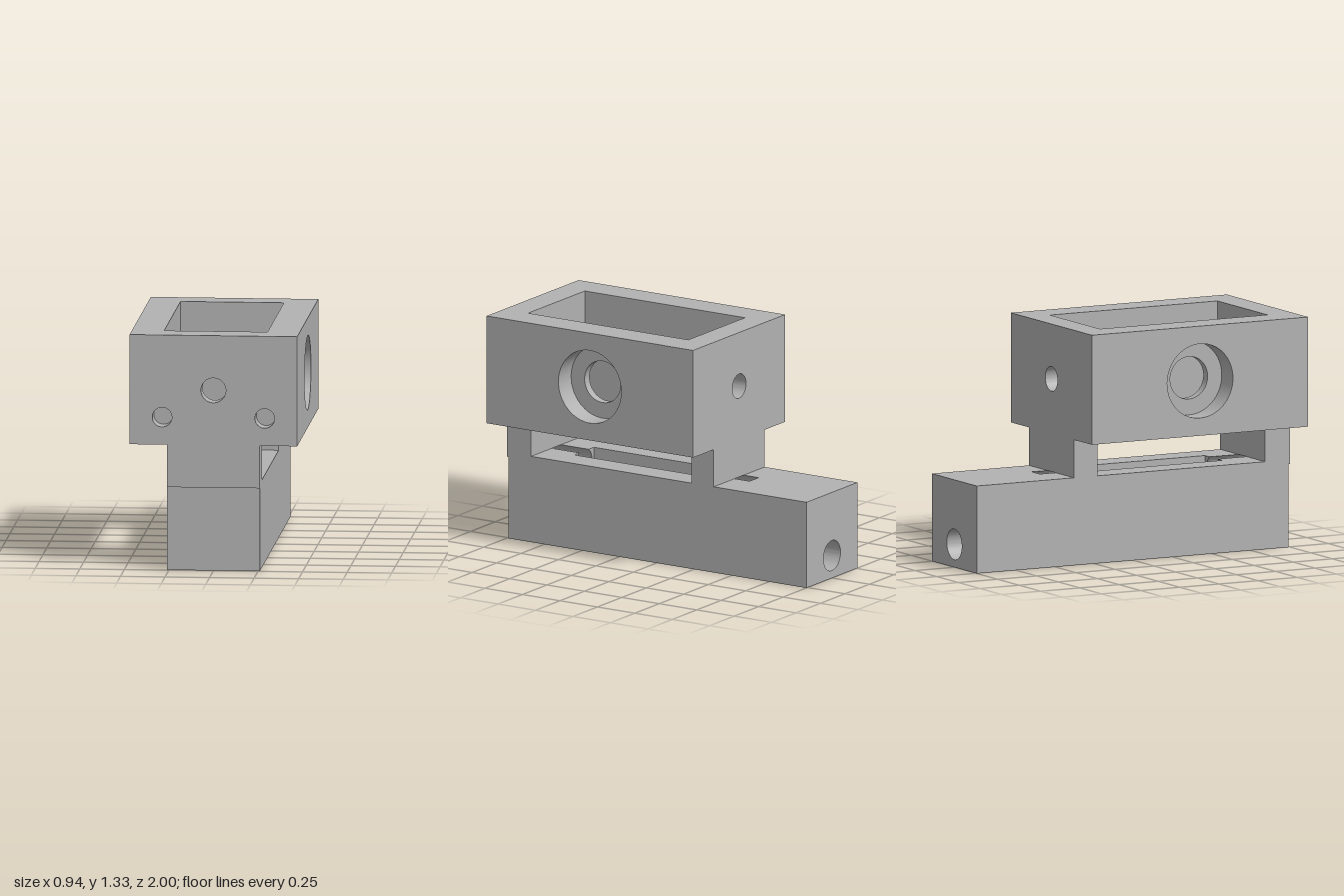
import * as THREE from 'three';
import { toCreasedNormals } from 'three/addons/utils/BufferGeometryUtils.js';

const polygon = (pts) => new THREE.Shape(pts.map(([x, y]) => new THREE.Vector2(x, y)));
const rect = (x0, x1, y0, y1) => polygon([[x0, y0], [x1, y0], [x1, y1], [x0, y1]]);

function addHole(shape, x, y, r) {
  const path = new THREE.Path();
  path.absarc(x, y, r, 0, Math.PI * 2, true);
  shape.holes.push(path);
  return shape;
}

function addHex(shape, x, y, r) {
  const pts = [];
  for (let i = 0; i < 6; i++) {
    const a = -i * Math.PI / 3;
    pts.push(new THREE.Vector2(x + r * Math.cos(a), y + r * Math.sin(a)));
  }
  shape.holes.push(new THREE.Path(pts));
  return shape;
}

export function createModel() {
  const model = new THREE.Group();
  model.name = 'slottedClampBlock';
  const grey = new THREE.MeshStandardMaterial({ color: 0xb2b2b2 });
  grey.name = 'plainGrey';

  const extrude = (shape, depth) =>
    new THREE.ExtrudeGeometry(shape, { depth, bevelEnabled: false, curveSegments: 32 });
  const add = (name, geometry) => {
    const mesh = new THREE.Mesh(toCreasedNormals(geometry, 0.5), grey);
    mesh.name = name;
    model.add(mesh);
  };
  // Slab with its outline in x/y, running from z0 to z1
  const alongZ = (name, shape, z0, z1) => add(name, extrude(shape, z1 - z0).translate(0, 0, z0));
  // Slab with its outline in z/y, running from x0 to x1
  const alongX = (name, shape, x0, x1) =>
    add(name, extrude(shape, x1 - x0).rotateY(-Math.PI / 2).translate(x1, 0, 0));

  const W = 0.26, H = 0.495;            // base half width and height
  const FW = 0.47, FB = 0.71, FT = 1.33; // frame half width, bottom, top
  const AXIS = 1.02;                     // height of the frame's bores

  // Base outline with a round groove breaking through its top face
  const grooved = () => {
    const cy = 0.43, r = 0.08;
    const a = Math.asin((H - cy) / r), c = r * Math.cos(a);
    const s = new THREE.Shape();
    s.moveTo(-W, 0);
    s.lineTo(W, 0);
    s.lineTo(W, H);
    s.lineTo(c, H);
    s.absarc(0, cy, r, a, -Math.PI - a, true);
    s.lineTo(-W, H);
    s.closePath();
    return s;
  };

  // Base, built from back to front around the vertical slot
  alongZ('baseTail', addHole(rect(-W, W, 0, H), 0, 0.13, 0.087), -1, -0.48);
  alongZ('baseRearGroove', addHole(grooved(), 0, 0.13, 0.087), -0.48, -0.3);
  alongZ('baseSlotWallLeft', rect(0.1, W, 0, H), -0.3, 0.655);
  alongZ('baseSlotWallRight', rect(-W, -0.1, 0, H), -0.3, 0.655);
  alongZ('baseFrontGroove', grooved(), 0.655, 0.9);
  alongZ('baseNose', rect(-W, W, 0, H), 0.9, 0.99);

  // End walls of the frame, with the neck that stands on the base
  const endWall = (bottom) => polygon([
    [-W, bottom], [W, bottom], [W, FB], [FW, FB], [FW, FT], [-FW, FT], [-FW, FB], [-W, FB],
  ]);
  const front = addHole(endWall(0.47), 0, AXIS, 0.07);
  for (const s of [-1, 1]) addHole(front, s * 0.288, 0.865, 0.055);
  alongZ('frontWall', front, 0.9, 1);
  alongZ('frontNutRecess', addHex(endWall(H), 0, AXIS, 0.115), 0.84, 0.9);
  alongZ('backWall', addHole(endWall(H), 0, AXIS, 0.07), -0.38, -0.29);
  alongZ('backNutRecess', addHex(endWall(H), 0, AXIS, 0.115), -0.29, -0.23);

  // Side walls of the frame, with counterbored holes
  const side = (r) => addHole(rect(-0.23, 0.84, FB, FT), 0.31, AXIS, r);
  alongX('leftWallOuter', side(0.21), 0.34, FW);
  alongX('leftWallInner', side(0.12), 0.29, 0.34);
  alongX('rightWallOuter', side(0.21), -FW, -0.34);
  alongX('rightWallInner', side(0.12), -0.34, -0.29);

  return model;
}
